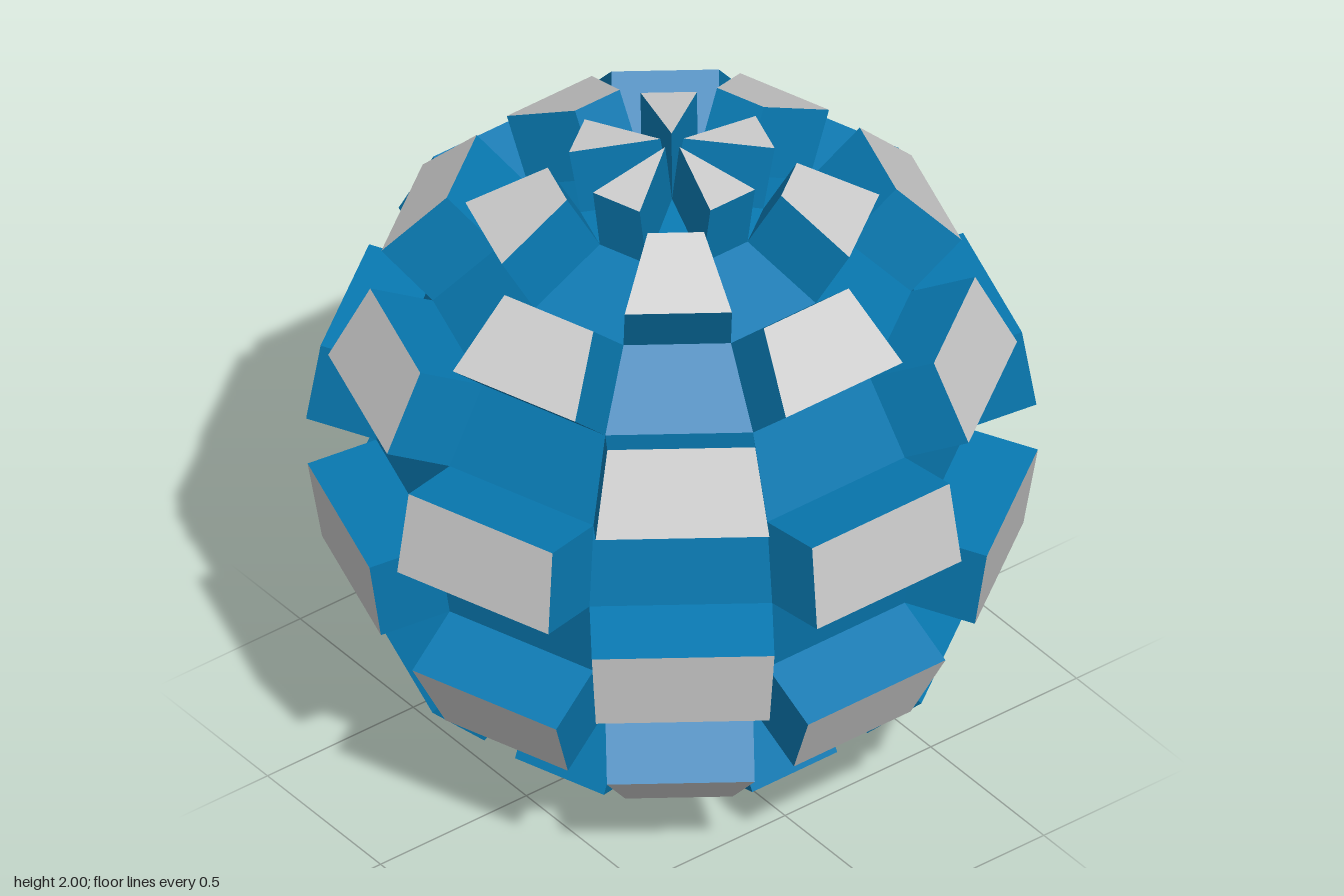
import * as THREE from 'three';

const COLUMNS = 10, ROWS = 10;
const RADIUS = 0.802, RAISE = 0.2005;

// Point on the core sphere; column 0 is centred on +z
function spherePoint(row, column) {
  const theta = (row / ROWS) * Math.PI;
  const phi = ((column - 0.5) / COLUMNS) * Math.PI * 2;
  const ring = row % ROWS === 0 ? 0 : RADIUS * Math.sin(theta);
  return new THREE.Vector3(ring * Math.sin(phi), 1 + RADIUS * Math.cos(theta), ring * Math.cos(phi));
}

// Adds a counter-clockwise polygon as a triangle fan
function addFace(list, corners) {
  for (let i = 1; i < corners.length - 1; i++) {
    for (const p of [corners[0], corners[i], corners[i + 1]]) list.push(p.x, p.y, p.z);
  }
}

function makeMesh(name, positions, color) {
  const geometry = new THREE.BufferGeometry();
  geometry.setAttribute('position', new THREE.Float32BufferAttribute(positions, 3));
  geometry.computeVertexNormals();
  const mesh = new THREE.Mesh(geometry, new THREE.MeshStandardMaterial({ color, flatShading: true }));
  mesh.name = name;
  return mesh;
}

export function createModel() {
  const core = [], sides = [], tops = [];

  for (let row = 0; row < ROWS; row++) {
    for (let column = 0; column < COLUMNS; column++) {
      // Tile corners; the pole rows are triangles
      const tl = spherePoint(row, column), tr = spherePoint(row, column + 1);
      const bl = spherePoint(row + 1, column), br = spherePoint(row + 1, column + 1);
      const tile = row === 0 ? [tl, bl, br] : row === ROWS - 1 ? [tl, bl, tr] : [tl, bl, br, tr];

      // Every other tile stays flush with the core
      if ((row + column) % 2) {
        addFace(core, tile);
        continue;
      }

      // The others are raised straight along the tile normal
      const offset = br.clone().sub(tl).cross(tr.clone().sub(bl)).setLength(RAISE);
      const raised = tile.map((p) => p.clone().add(offset));
      addFace(tops, raised);
      tile.forEach((p, i) => {
        const j = (i + 1) % tile.length;
        addFace(sides, [p, tile[j], raised[j], raised[i]]);
      });
    }
  }

  const group = new THREE.Group();
  group.name = 'blockSphere';
  group.add(
    makeMesh('coreTiles', core, 0x0878b0),
    makeMesh('blockSides', sides, 0x0878b0),
    makeMesh('blockTops', tops, 0xcccccc),
  );
  return group;
}
